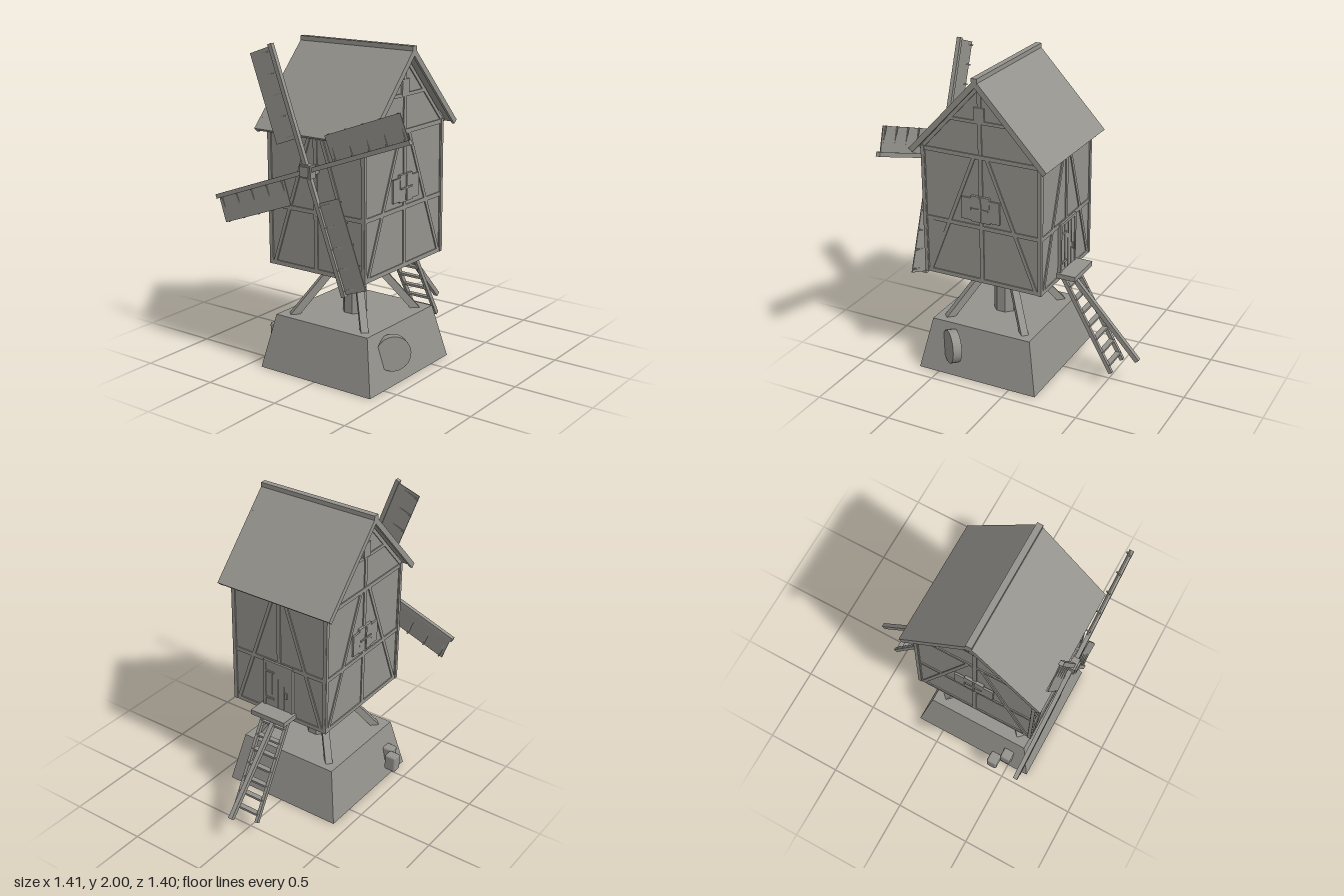
import * as THREE from 'three';
import { RoundedBoxGeometry } from 'three/addons/geometries/RoundedBoxGeometry.js';

const grey = new THREE.MeshStandardMaterial({ color: 0x95938d });
grey.name = 'weatheredGrey';
const V = (x, y, z) => new THREE.Vector3(x, y, z);
const CZ = 0.205; // middle of the house in z
const BZ = 0.23; // middle of the base in z

function add(parent, name, geo, x = 0, y = 0, z = 0) {
  const m = new THREE.Mesh(geo, grey);
  m.name = name;
  m.position.set(x, y, z);
  parent.add(m);
  return m;
}
const box = (parent, name, w, h, d, x, y, z) => add(parent, name, new THREE.BoxGeometry(w, h, d), x, y, z);

// Prism with crisp facets
function prism(rTop, rBottom, h, sides, turn) {
  const g = new THREE.CylinderGeometry(rTop, rBottom, h, sides).rotateY(turn).toNonIndexed();
  g.computeVertexNormals();
  return g;
}

// Square-cut beam running from a to b; w lies along the side hint
function beam(parent, name, a, b, w, d, side = V(1, 0, 0)) {
  const m = box(parent, name, w, a.distanceTo(b), d, 0, 0, 0);
  const y = b.clone().sub(a).normalize();
  const z = side.clone().cross(y).normalize();
  const x = y.clone().cross(z);
  m.quaternion.setFromRotationMatrix(new THREE.Matrix4().makeBasis(x, y, z));
  m.position.copy(a).add(b).multiplyScalar(0.5);
  return m;
}

// Timber frame of one wall, drawn facing +z and then turned into place
function wallFrame(name, half, depth, angle) {
  const g = new THREE.Group();
  g.name = name;
  g.position.z = CZ;
  g.rotation.y = angle;
  const bar = (part, u0, v0, u1, v1, w = 0.026) =>
    beam(g, part, V(u0, v0, depth - 0.006), V(u1, v1, depth - 0.006), w, 0.022);
  for (const y of [0.683, 1.037, 1.485]) {
    box(g, 'rail', half * 2 - 0.03, 0.026, 0.022, 0, y, depth - 0.006);
  }
  bar('middlePost', 0, 0.68, 0, 1.485);
  for (const s of [-1, 1]) {
    bar('cornerPost', s * (half - 0.012), 0.67, s * (half - 0.012), 1.5);
    bar('diagonalBrace', s * 0.045, 1.475, s * (half - 0.04), 0.69, 0.022);
  }
  return g;
}

// Window with open shutters, and the timbers of the gable above it
function dressSide(g, depth) {
  box(g, 'windowFrame', 0.125, 0.165, 0.03, 0, 1.157, depth);
  box(g, 'windowBar', 0.012, 0.15, 0.008, 0, 1.157, depth + 0.017);
  box(g, 'windowBar', 0.11, 0.01, 0.008, 0, 1.157, depth + 0.017);
  for (const s of [-1, 1]) {
    box(g, 'shutter', 0.066, 0.14, 0.012, s * 0.096, 1.153, depth + 0.009);
    beam(g, 'gableRafter', V(s * 0.385, 1.5, depth - 0.006), V(s * 0.005, 1.91, depth - 0.006), 0.022, 0.022);
  }
  box(g, 'gablePost', 0.024, 0.42, 0.022, 0, 1.71, depth - 0.006);
  box(g, 'gableTie', 0.42, 0.02, 0.022, 0, 1.7, depth - 0.006);
  box(g, 'gableHatch', 0.068, 0.09, 0.026, 0, 1.745, depth - 0.004);
}

// One sail: stock, cloth on one side, and cross slats
function sail(angle) {
  const g = new THREE.Group();
  g.name = 'sail';
  g.rotation.z = angle;
  box(g, 'stock', 0.745, 0.027, 0.026, 0.372, 0, 0.67);
  const cloth = box(g, 'cloth', 0.54, 0.16, 0.006, 0.463, 0.085, 0.668);
  cloth.rotation.x = 0.04;
  for (let i = 0; i < 5; i++) {
    const slat = box(g, 'slat', 0.009, 0.16, 0.008, 0.215 + i * 0.124, 0.088, 0.667);
    slat.rotation.x = -0.05;
  }
  return g;
}

export function createModel() {
  const model = new THREE.Group();
  model.name = 'postMill';

  // Base, post and four corner struts
  const q = Math.SQRT2;
  add(model, 'base', prism(0.34 * q, 0.41 * q, 0.335, 4, Math.PI / 4), 0, 0.1675, BZ);
  add(model, 'post', prism(0.066, 0.077, 0.36, 8, Math.PI / 8), 0, 0.505, BZ);
  for (const sx of [-1, 1]) {
    for (const sz of [-1, 1]) {
      beam(model, 'strut', V(sx * 0.275, 0.31, BZ + sz * 0.275), V(sx * 0.05, 0.69, BZ + sz * 0.05),
        0.045, 0.045, V(sz, 0, -sx));
    }
  }

  // Millstone leaning on one side, blocks on the other
  const stone = add(model, 'millstone', new THREE.CylinderGeometry(0.106, 0.106, 0.056, 28), 0.4, 0.205, 0.4);
  stone.quaternion.setFromUnitVectors(V(0, 1, 0), V(0.74, 0.05, 0.67).normalize());
  add(model, 'block', new RoundedBoxGeometry(0.08, 0.11, 0.07, 1, 0.012), -0.46, 0.155, 0.415);
  add(model, 'block', new RoundedBoxGeometry(0.08, 0.11, 0.07, 1, 0.012), -0.393, 0.155, 0.48);

  // House walls with gables, extruded across x
  const outline = new THREE.Shape([[-0.393, 0.67], [0.393, 0.67], [0.393, 1.5], [0, 1.925], [-0.393, 1.5]]
    .map(([u, v]) => new THREE.Vector2(u, v)));
  const walls = new THREE.ExtrudeGeometry(outline, { depth: 0.68, bevelEnabled: false });
  add(model, 'walls', walls.translate(0, 0, -0.34).rotateY(Math.PI / 2), 0, 0, CZ);

  // Timber frames
  const back = wallFrame('backFrame', 0.35, 0.395, Math.PI);
  model.add(wallFrame('frontFrame', 0.35, 0.395, 0), back);
  for (const s of [-1, 1]) {
    const side = wallFrame('sideFrame', 0.4, 0.342, s * Math.PI / 2);
    dressSide(side, 0.342);
    model.add(side);
  }

  // Back door
  box(back, 'door', 0.2, 0.32, 0.016, 0, 0.875, 0.4);
  for (const s of [-1, 1]) box(back, 'doorJamb', 0.018, 0.33, 0.026, s * 0.1, 0.875, 0.4);
  box(back, 'doorLintel', 0.218, 0.018, 0.026, 0, 1.035, 0.4);
  for (const x of [-0.045, 0, 0.045]) box(back, 'doorGroove', 0.005, 0.3, 0.004, x, 0.875, 0.409);
  box(back, 'doorHandle', 0.014, 0.04, 0.016, 0.065, 0.84, 0.412);
  for (const y of [0.78, 0.97]) box(back, 'doorHinge', 0.06, 0.012, 0.008, -0.06, y, 0.411);

  // Roof slopes, edge boards, rafter ends and ridge
  for (const s of [-1, 1]) {
    const n = V(0, 0.685, s * 0.728); // outward direction of the slope
    const on = (x, t, drop) => V(x, 1.975 - 0.485 * t, 0.2 + s * 0.455 * t).addScaledVector(n, -drop);
    beam(model, 'roofSlope', on(0, 0, 0.01), on(0, 1, 0.01), 0.8, 0.02);
    for (const x of [-0.397, 0.397]) {
      beam(model, 'edgeBoard', on(x, 0.01, 0.017), on(x, 1, 0.017), 0.016, 0.034);
    }
    for (let i = 0; i < 6; i++) {
      const x = -0.325 + i * 0.13;
      beam(model, 'rafterEnd', on(x, 0.84, 0.03), on(x, 0.975, 0.03), 0.026, 0.024);
    }
  }
  box(model, 'ridge', 0.812, 0.03, 0.038, 0, 1.967, 0.2);

  // Landing, ladder and tail pole
  box(model, 'landing', 0.252, 0.032, 0.125, 0, 0.708, -0.25);
  const top = V(0, 0.69, -0.215);
  const foot = V(0, 0.1, -0.548);
  for (const s of [-1, 1]) {
    const off = V(s * 0.089, 0, 0);
    beam(model, 'ladderRail', top.clone().add(off), foot.clone().add(off), 0.02, 0.026);
  }
  for (let i = 0; i < 7; i++) {
    const p = top.clone().lerp(foot, 0.1 + i * 0.137);
    box(model, 'rung', 0.18, 0.014, 0.034, p.x, p.y, p.z);
  }
  beam(model, 'tailPole', V(0, 0.71, -0.195), V(0, 0.175, -0.688), 0.028, 0.03);

  // Axle, hub and sails
  const rotor = new THREE.Group();
  rotor.name = 'rotor';
  rotor.position.y = 1.295;
  box(rotor, 'axle', 0.05, 0.05, 0.12, 0, 0, 0.62);
  box(rotor, 'hub', 0.078, 0.078, 0.046, 0, 0, 0.672);
  box(rotor, 'hubCap', 0.06, 0.06, 0.012, 0, 0, 0.699);
  for (let i = 0; i < 4; i++) rotor.add(sail(Math.PI / 9 + i * Math.PI / 2));
  model.add(rotor);

  return model;
}
